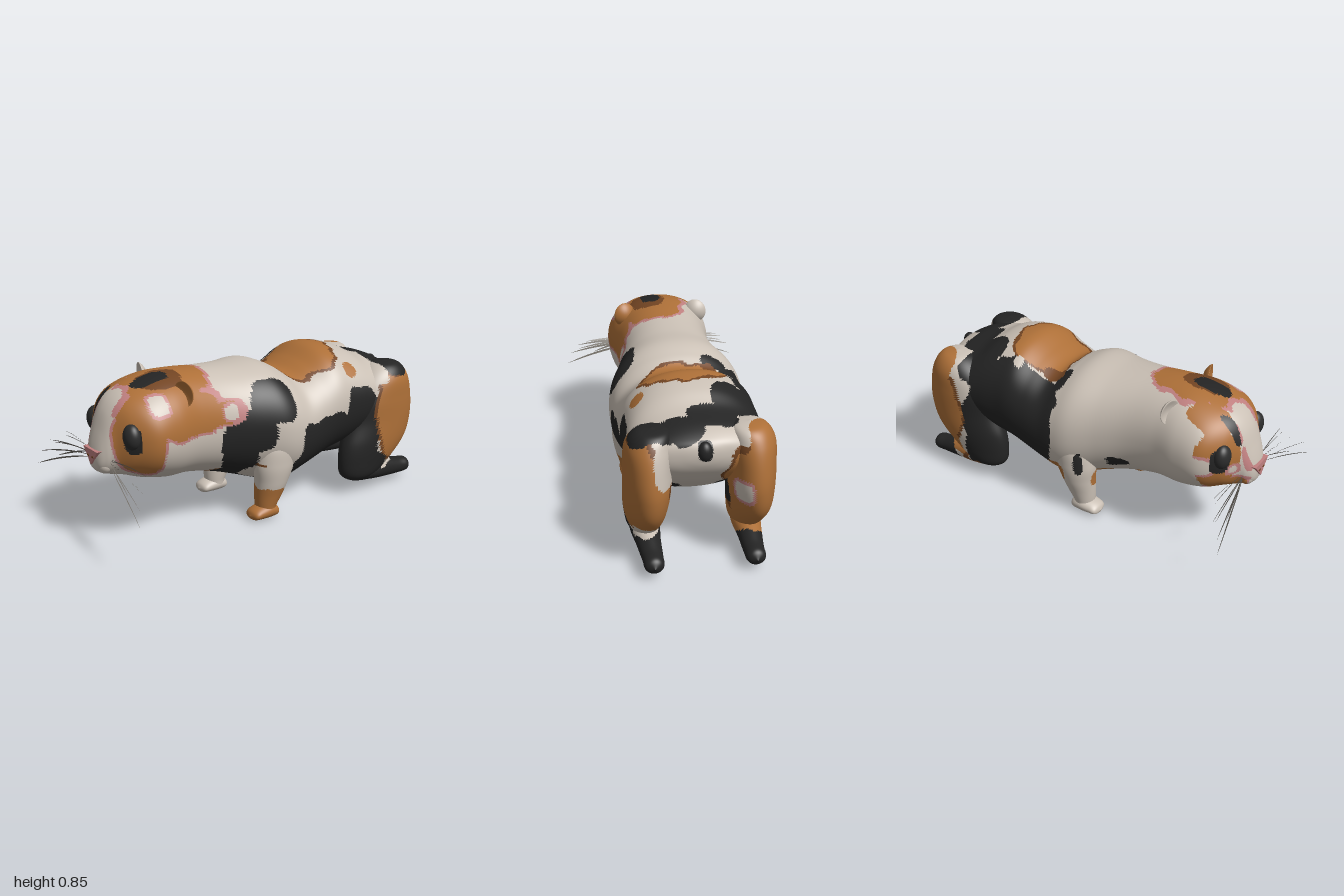
import * as THREE from 'three';

const mat = (name, color) => Object.assign(new THREE.MeshStandardMaterial({ color }), { name });
const white = mat('cream fur', 0xcac0b5), orange = mat('ginger fur', 0xae7038), black = mat('black fur', 0x242424);
const pink = mat('pink skin', 0xc08080), brown = mat('brown fur', 0x734523);
const eyeBlack = mat('eye black', 0x2c2c2c), whiskerGrey = mat('whisker grey', 0x77726a);
whiskerGrey.side = THREE.DoubleSide;
const coat = [white, orange, black, pink, brown];
const W = 0, O = 1, B = 2, P = 3, N = 4;

// Fur patches: colour, centre x y z, radii x y z, optional rim colour
const flankPatches = [
  [B, .3, .67, .04, .13, .11, .12], [B, .3, .52, .19, .2, .12, .15], [B, .3, .32, .22, .18, .14, .1],
  [O, -.1, .235, .22, .16, .06, .2], [B, .17, .22, .16, .17, .11, .2, N],
  [B, -.27, .38, .27, .05, .05, .08], [B, -.35, .35, .07, .04, .07, .03],
  [B, .3, .35, -.33, .25, .18, .24], [B, .1, .2, -.25, .25, .12, .3], [O, -.15, .2, -.14, .1, .08, .09, N],
  [W, -.02, .16, -.08, .07, .05, .05], [O, -.3, .25, -.1, .1, .06, .08],
];
const backPatches = [
  [B, -.34, .55, -.35, .16, .33, .26], [B, -.23, .76, -.61, .15, .2, .11],
  [B, -.07, .78, -.74, .13, .1, .08], [B, .16, .72, -.81, .18, .09, .085],
  [B, 0, .66, -.92, .035, .06, .04], [B, -.19, .77, -.12, .07, .1, .035],
  [O, .02, .82, -.33, .2, .2, .17, N], [N, -.16, .76, -.2, .035, .1, .06],
  [O, .27, .74, -.5, .035, .05, .035], [W, -.215, .75, -.385, .03, .07, .025],
];
const legPatches = [
  [B, .3, .4, -.54, .17, .24, .12], [B, -.28, .4, -.54, .17, .26, .14],
  [O, .32, .44, -.82, .15, .24, .17, N], [O, -.29, .42, -.86, .18, .24, .16, N],
  [O, .22, .3, -.84, .1, .1, .12],
  [B, .26, .16, -.58, .2, .11, .15], [B, -.33, .2, -.55, .08, .16, .14],
  [O, -.23, .17, -.66, .09, .11, .14, N], [O, -.27, .2, -.78, .12, .1, .08],
  [B, .15, .35, -.65, .06, .15, .15], [B, -.15, .37, -.65, .06, .13, .12],
  [B, .25, .07, -.84, .1, .08, .24], [B, -.25, .07, -.92, .1, .08, .17],
  [W, .31, .185, -.83, .08, .03, .045], [W, -.19, .42, -.92, .04, .05, .06, P],
  [W, .25, .25, .05, .13, .075, .13], [O, .24, .06, .04, .14, .135, .16],
];
const rumpPatches = [
  [O, -.32, .67, -.86, .11, .1, .11], [W, .18, .58, -.9, .07, .11, .1],
  [B, .25, .73, -.81, .13, .08, .08], [W, .3, .7, -.67, .1, .06, .06],
];
const headPatches = [
  [O, .06, .85, .57, .18, .13, .22, P], [O, .25, .68, .52, .14, .11, .18, P],
  [O, .29, .65, .32, .1, .06, .1, P], [O, .23, .58, .8, .14, .18, .11, P],
  [O, .15, .76, .78, .1, .1, .1], [O, -.22, .6, .83, .11, .17, .11],
  [O, -.14, .76, .73, .08, .1, .11], [O, -.14, .42, .86, .08, .06, .1, P],
  [W, -.28, .57, .7, .07, .05, .1, P], [P, -.14, .53, .88, .035, .035, .06], [W, -.14, .53, .88, .02, .022, .06],
  [W, .22, .76, .69, .07, .045, .045, P], [W, .28, .65, .28, .06, .04, .04, P],
  [B, -.1, .73, .84, .026, .07, .1],
  [N, .07, .85, .6, .09, .08, .13], [B, .05, .85, .64, .052, .1, .1],
];
const facePatches = [
  [P, .08, .76, .85, .025, .06, .08], [P, -.075, .57, .91, .025, .07, .06],
  [W, 0, .66, .9, .072, .15, .17, P], [W, 0, .41, .93, .07, .075, .08],
  [B, -.2, .6, .83, .042, .07, .06], [B, .2, .6, .83, .038, .065, .06],
];
const patches = [...flankPatches, ...backPatches, ...legPatches, ...rumpPatches, ...headPatches, ...facePatches];

function furAt(x, y, z) {
  let c = W;
  const wob = .05 * Math.sin(31 * x + 17 * y + 9) + .05 * Math.sin(27 * z - 21 * y) + .03 * Math.sin(55 * (x + z));
  for (const [col, px, py, pz, rx, ry, rz, rim] of patches) {
    const d = Math.cbrt(Math.abs((x - px) / rx) ** 3 + Math.abs((y - py) / ry) ** 3 + Math.abs((z - pz) / rz) ** 3) + wob;
    if (d < 1) c = col;
    else if (rim && d < 1 + .014 / Math.min(rx, ry, rz) && c !== col) c = rim;
  }
  return c;
}

// Sort the triangles of a geometry into coat colours by position
function furMesh(name, geo) {
  const p = geo.attributes.position, idx = geo.index.array, bins = coat.map(() => []);
  for (let i = 0; i < idx.length; i += 3) {
    const t = [idx[i], idx[i + 1], idx[i + 2]];
    const mid = (get) => (get(t[0]) + get(t[1]) + get(t[2])) / 3;
    bins[furAt(mid((k) => p.getX(k)), mid((k) => p.getY(k)), mid((k) => p.getZ(k)))].push(...t);
  }
  geo.setIndex(bins.flat());
  let start = 0;
  bins.forEach((b, m) => { if (b.length) geo.addGroup(start, b.length, m); start += b.length; });
  const mesh = new THREE.Mesh(geo, coat);
  mesh.name = name;
  return mesh;
}

const surface = (pos, idx) => {
  const g = new THREE.BufferGeometry();
  g.setAttribute('position', new THREE.Float32BufferAttribute(pos, 3));
  g.setIndex(idx);
  g.computeVertexNormals();
  return g;
};

// Skin over rings [x, y, z, halfWidth, halfDepth]; rings lie in the plane of x and the given axis
function loft(rows, axis, steps, around, power = 1) {
  const centre = new THREE.CatmullRomCurve3(rows.map((r) => new THREE.Vector3(r[0], r[1], r[2])), false, 'catmullrom');
  const radii = new THREE.CatmullRomCurve3(rows.map((r) => new THREE.Vector3(r[3], r[4], 0)), false, 'catmullrom');
  const n = (rows.length - 1) * steps, pos = [], idx = [];
  const round = (v) => Math.sign(v) * Math.abs(v) ** power;
  for (let i = 0; i <= n; i++) {
    const c = centre.getPoint(i / n), r = radii.getPoint(i / n);
    for (let j = 0; j < around; j++) {
      const a = j / around * Math.PI * 2;
      c.clone().addScaledVector(axis, round(Math.sin(a)) * Math.max(r.y, 0)).toArray(pos, pos.length);
      pos[pos.length - 3] += round(Math.cos(a)) * Math.max(r.x, 0);
    }
  }
  for (let i = 0; i < n; i++) for (let j = 0; j < around; j++) {
    const a = i * around + j, b = i * around + (j + 1) % around;
    idx.push(a, a + around, b, b, a + around, b + around);
  }
  return surface(pos, idx);
}

// Flat leaf along a curve, widest at the middle
function blade(curve, width) {
  const pos = [], idx = [], n = 8;
  for (let i = 0; i <= n; i++) {
    const { x, y, z } = curve.getPoint(i / n), w = width * (.25 + .75 * Math.sin(Math.PI * i / n)) * (i < n ? 1 : 0);
    pos.push(x, y + w * .8, z + w * .7, x, y - w * .8, z - w * .7);
    if (i) idx.push(2 * i - 2, 2 * i - 1, 2 * i, 2 * i, 2 * i - 1, 2 * i + 1);
  }
  return surface(pos, idx);
}

const ball = (x, y, z, rx, ry, rz, n = 24) => new THREE.SphereGeometry(1, n, n * .75).scale(rx, ry, rz).translate(x, y, z);

export function createModel() {
  const model = new THREE.Group();
  model.name = 'guineaPig';
  const add = (name, geo, material) => {
    const m = new THREE.Mesh(geo, material);
    m.name = name;
    model.add(m);
    return m;
  };
  const up = new THREE.Vector3(0, 1, 0), back = new THREE.Vector3(0, 0, -1);

  // Head and body in one skin: z, top, bottom, half width
  const profile = [
    [.955, .48, .48, 0], [.945, .54, .425, .055], [.92, .62, .4, .09], [.88, .72, .385, .125],
    [.82, .785, .375, .212], [.73, .825, .345, .28], [.6, .855, .315, .285], [.46, .855, .305, .262],
    [.3, .84, .27, .265], [.15, .83, .22, .3], [0, .83, .165, .355], [-.1, .795, .145, .362],
    [-.19, .75, .175, .355], [-.29, .785, .205, .35], [-.39, .84, .235, .35], [-.475, .845, .25, .345],
    [-.58, .82, .28, .345], [-.68, .77, .34, .34], [-.8, .74, .43, .3], [-.87, .71, .51, .22],
    [-.905, .68, .57, .1], [-.92, .63, .63, 0],
  ];
  const rings = profile.map(([z, t, b, w]) => [0, (t + b) / 2, z, w, (t - b) / 2]);
  model.add(furMesh('body', loft(rings, up, 8, 170, .92)));
  model.add(furMesh('tail', ball(0, .65, -.905, .035, .05, .035)));

  for (const s of [1, -1]) {
    const side = s > 0 ? 'left' : 'right';
    const mirror = (rows) => rows.map(([x, ...r]) => [s * x, ...r]);
    const limb = (name, rows, axis) => model.add(furMesh(side + name, loft(mirror(rows), axis, 10, 60)));

    // Hind leg with a heavy haunch and a foot stretched backwards
    limb('Haunch', [
      [.235, .738, -.79, 0, 0], [.235, .72, -.79, .08, .09], [.25, .65, -.775, .112, .155], [.255, .54, -.755, .117, .205],
      [.255, .42, -.745, .117, .222], [.26, .3, -.705, .11, .228], [.26, .2, -.655, .098, .19],
      [.26, .12, -.61, .08, .13], [.26, .08, -.6, .04, .06], [.26, .07, -.6, 0, 0],
    ], back);
    limb('HindFoot', [
      [.26, .13, -.5, 0, 0], [.26, .13, -.54, .06, .05], [.258, .12, -.66, .075, .06], [.255, .105, -.78, .062, .06],
      [.25, .085, -.9, .052, .048], [.25, .08, -.97, .045, .04], [.25, .08, -1, 0, 0],
    ], up);

    // Front leg and paw
    limb('FrontLeg', [
      [.235, .5, -.01, 0, 0], [.24, .44, -.01, .09, .1], [.25, .32, 0, .095, .115], [.247, .22, .015, .086, .095],
      [.24, .14, .03, .072, .078], [.237, .08, .045, .06, .06], [.237, .03, .05, .05, .05], [.237, .01, .05, 0, 0],
    ], back);
    limb('FrontPaw', [
      [.24, .035, .155, 0, 0], [.24, .038, .14, .048, .025], [.24, .045, .1, .058, .038],
      [.24, .05, .04, .06, .045], [.24, .04, -.01, .045, .03], [.24, .035, -.03, 0, 0],
    ], up);

    // Cupped ear
    const ear = ball(0, 0, 0, .062, .068, .013, 28), p = ear.attributes.position;
    for (let i = 0; i < p.count; i++) p.setZ(i, p.getZ(i) + 6 * (p.getX(i) ** 2 + p.getY(i) ** 2));
    ear.computeVertexNormals();
    const earMesh = add(side + 'Ear', ear, s > 0 ? orange : white);
    earMesh.position.set(s * .198, .785, .515);
    earMesh.rotation.y = s * .28;

    add(side + 'Eye', ball(s * .178, .615, .825, .053, .067, .044, 32), eyeBlack);
    model.add(furMesh(side + 'MuzzlePad', ball(s * .032, .445, .905, .05, .045, .038)));

    // Whiskers: end points
    const tips = [[.52, .3, 1], [.5, .375, .985], [.46, .44, .95], [.45, .425, .93], [.41, .49, .88], [.36, .385, .96], [.38, .48, .9]];
    tips.forEach(([x, y, z], i) => {
      const curve = new THREE.QuadraticBezierCurve3(
        new THREE.Vector3(s * .08, .45 + .006 * i, .9),
        new THREE.Vector3(s * (x * .5 + .02), (y + .49) / 2 + .02, z * .5 + .455),
        new THREE.Vector3(s * x, y, z));
      add(side + 'Whisker', blade(curve, .006), whiskerGrey);
    });
    add(side + 'Nostril', ball(s * .022, .494, .963, .011, .006, .002, 12), brown);
  }

  // Nose
  const nose = new THREE.Shape([new THREE.Vector2(-.068, .53), new THREE.Vector2(0, .45), new THREE.Vector2(.068, .53)]);
  add('nose', new THREE.ExtrudeGeometry(nose, { depth: .035, bevelEnabled: false }).translate(0, 0, .927), pink);
  return model;
}
